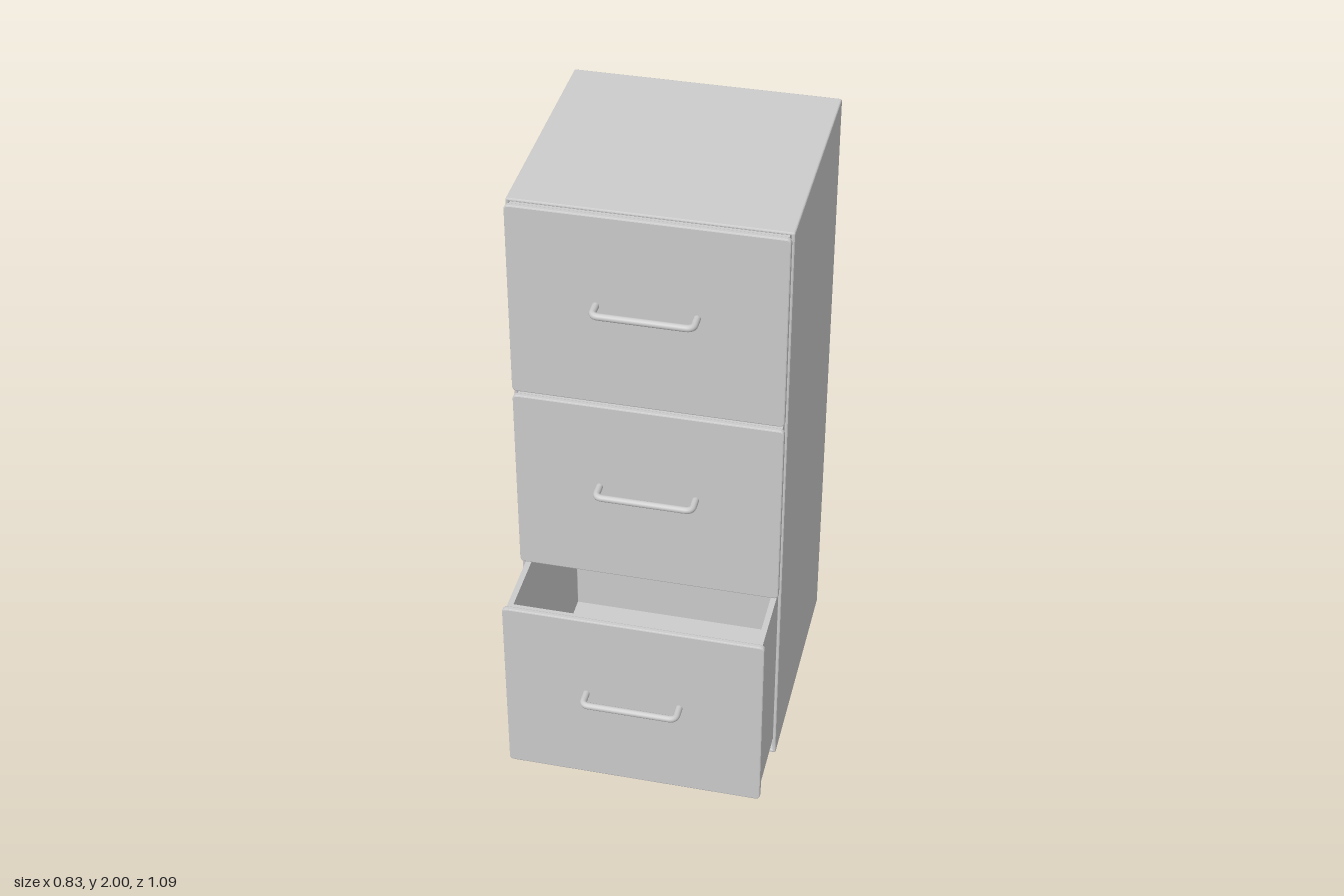
import * as THREE from 'three';

const material = new THREE.MeshStandardMaterial({ color: 0xcccccc });

function mesh(name, geometry, parent) {
  const m = new THREE.Mesh(geometry, material);
  m.name = name;
  parent.add(m);
  return m;
}

// Trace a rounded rectangle centred on the origin
function roundedRect(path, w, h, r) {
  const x = w / 2, y = h / 2;
  path.moveTo(-x + r, -y);
  path.lineTo(x - r, -y);
  path.quadraticCurveTo(x, -y, x, -y + r);
  path.lineTo(x, y - r);
  path.quadraticCurveTo(x, y, x - r, y);
  path.lineTo(-x + r, y);
  path.quadraticCurveTo(-x, y, -x, y - r);
  path.lineTo(-x, -y + r);
  path.quadraticCurveTo(-x, -y, -x + r, -y);
  return path;
}

// Bevelled slab or frame (wall > 0 cuts a hole), centred, extruded along z
function slab(w, h, d, r, bevel, wall = 0) {
  const shape = roundedRect(new THREE.Shape(), w - 2 * bevel, h - 2 * bevel, r);
  if (wall) {
    const inset = 2 * (wall - bevel);
    shape.holes.push(roundedRect(new THREE.Path(), w - inset, h - inset, 0.002));
  }
  const g = new THREE.ExtrudeGeometry(shape, {
    depth: d - 2 * bevel, bevelEnabled: bevel > 0, bevelSize: bevel,
    bevelThickness: bevel, bevelSegments: 2, curveSegments: 5,
  });
  return g.translate(0, 0, bevel - d / 2);
}

// Bent bar handle; its feet touch z = 0
function handleGeometry() {
  const x = 0.149, z = 0.054, r = 0.022;
  const V = (a, b) => new THREE.Vector3(a, 0, b);
  const path = new THREE.CurvePath();
  path.add(new THREE.LineCurve3(V(-x, -0.005), V(-x, z - r)));
  path.add(new THREE.QuadraticBezierCurve3(V(-x, z - r), V(-x, z), V(-x + r, z)));
  path.add(new THREE.LineCurve3(V(-x + r, z), V(x - r, z)));
  path.add(new THREE.QuadraticBezierCurve3(V(x - r, z), V(x, z), V(x, z - r)));
  path.add(new THREE.LineCurve3(V(x, z - r), V(x, -0.005)));
  return new THREE.TubeGeometry(path, 80, 0.011, 14);
}

// Drawer with its origin at the middle of the front panel's back face
function createDrawer(name) {
  const drawer = new THREE.Group();
  drawer.name = name;
  const panelD = 0.018, depth = 0.77, bodyW = 0.804, bodyH = 0.63, wall = 0.018;

  mesh('drawerFront', slab(0.824, 0.645, panelD, 0.012, 0.004), drawer).position.z = panelD / 2;

  // Four walls of the tray, then its floor
  const walls = slab(bodyW, depth, bodyH, 0.001, 0, wall).rotateX(-Math.PI / 2);
  mesh('drawerWalls', walls, drawer).position.z = -depth / 2;
  const floor = new THREE.BoxGeometry(bodyW - wall, 0.015, depth - wall);
  mesh('drawerFloor', floor, drawer).position.set(0, -bodyH / 2 + 0.0085, -depth / 2);

  mesh('handle', handleGeometry(), drawer).position.z = panelD;
  return drawer;
}

export function createModel() {
  const model = new THREE.Group();
  model.name = 'filingCabinet';

  // Open-fronted shell with a back panel
  const front = 0.23, back = -0.545, depth = front - back;
  const shell = mesh('cabinetShell', slab(0.832, 2, depth, 0.002, 0.004, 0.011), model);
  shell.position.set(0, 1, (front + back) / 2);
  const rear = mesh('cabinetBack', new THREE.BoxGeometry(0.82, 1.985, 0.012), model);
  rear.position.set(0, 1, back + 0.007);

  // Two closed drawers above one pulled open
  const drawers = [
    ['bottomDrawer', 0.356, 0.463],
    ['middleDrawer', 1.016, 0.248],
    ['topDrawer', 1.677, 0.248],
  ];
  for (const [name, y, z] of drawers) {
    const drawer = createDrawer(name);
    drawer.position.set(0, y, z);
    drawer.getObjectByName('handle').position.y = 0.022;
    model.add(drawer);
  }
  return model;
}
